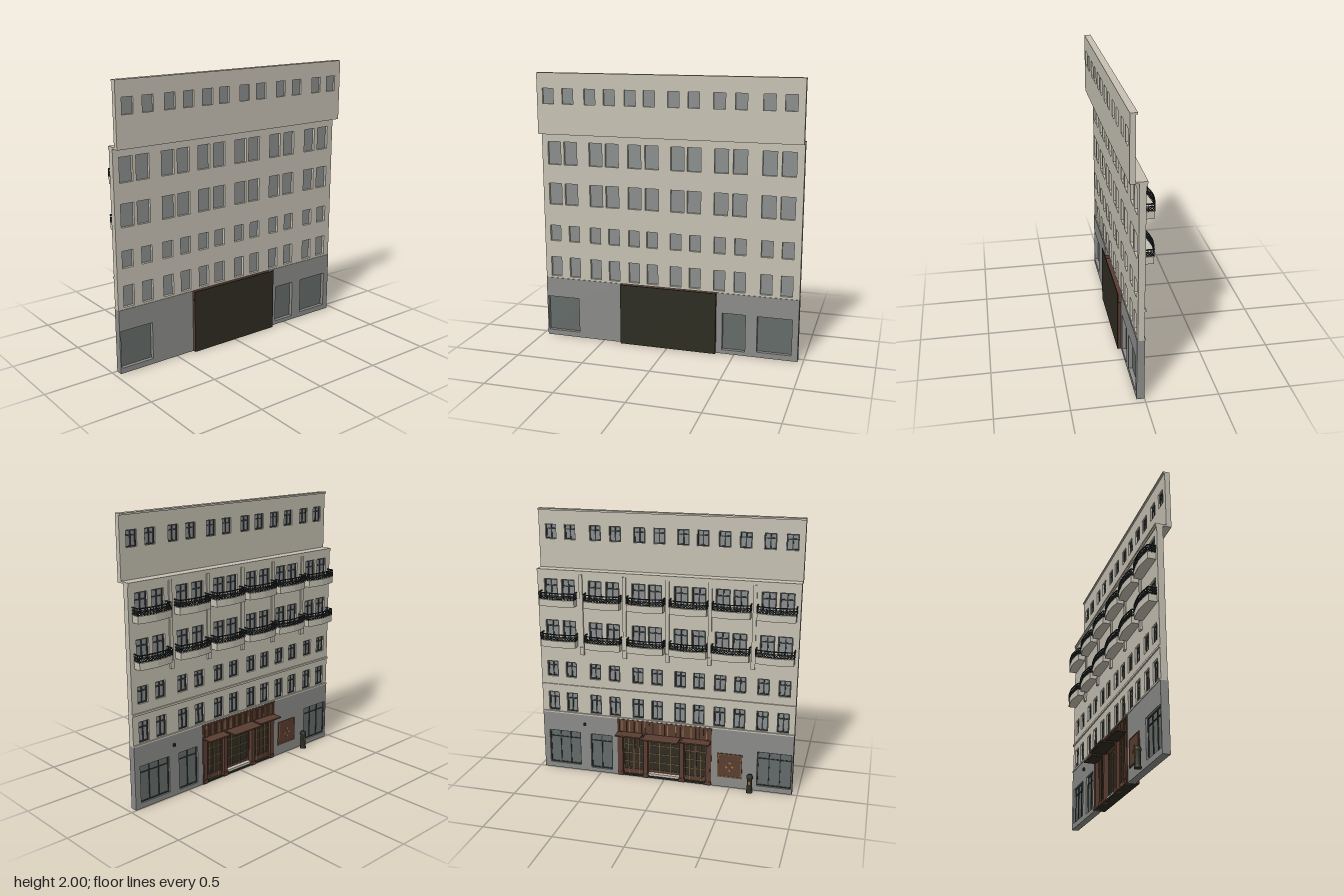
import * as THREE from 'three';
import { mergeGeometries } from 'three/addons/utils/BufferGeometryUtils.js';

const mat = (name, color) => Object.assign(new THREE.MeshStandardMaterial({ color }), { name });
const M = {
  plaster: mat('plaster', 0xc6c1b3),
  stone: mat('grey stone', 0x8b8b89),
  pane: mat('window pane', 0x8a8e8c),
  shop: mat('shop glass', 0x646b69),
  frame: mat('dark frame', 0x33383a),
  iron: mat('wrought iron', 0x25292a),
  wood: mat('brown wood', 0x5a3d31),
  backing: mat('dark backing', 0x2e2c22),
  gold: mat('gold trim', 0x93713f),
};

function mesh(parent, name, geo, material) {
  const m = new THREE.Mesh(geo, material);
  m.name = name;
  parent.add(m);
  return m;
}

// box geometry from its limits
function span(x0, x1, y0, y1, z0, z1) {
  return new THREE.BoxGeometry(x1 - x0, y1 - y0, z1 - z0)
    .translate((x0 + x1) / 2, (y0 + y1) / 2, (z0 + z1) / 2);
}
const box = (p, name, material, ...lim) => mesh(p, name, span(...lim), material);

// thin square bar between two points
function bar(a, b, t) {
  const d = new THREE.Vector3().subVectors(b, a);
  const g = new THREE.BoxGeometry(t, t, d.length());
  const m = new THREE.Matrix4().lookAt(b, a, new THREE.Vector3(0.01, 1, 0.02));
  return g.applyMatrix4(m).translate((a.x + b.x) / 2, (a.y + b.y) / 2, (a.z + b.z) / 2);
}

// wall with rectangular openings [x0, x1, y0, y1]
function wall(p, name, material, [x0, x1, y0, y1], z0, z1, holes) {
  const rect = (T, a, b, c, d) => {
    const s = new T();
    s.moveTo(a, c); s.lineTo(b, c); s.lineTo(b, d); s.lineTo(a, d); s.closePath();
    return s;
  };
  const s = rect(THREE.Shape, x0, x1, y0, y1);
  s.holes = holes.map((h) => rect(THREE.Path, ...h));
  const g = new THREE.ExtrudeGeometry(s, { depth: z1 - z0, bevelEnabled: false }).translate(0, 0, z0);
  mesh(p, name, g, material);
}

// pane with frame, mullions and a transom on the street side (-z)
function glazing(p, name, [x0, x1, y0, y1], z, glass, cols, transom, t) {
  box(p, name + 'Pane', glass, x0, x1, y0, y1, z, z + 0.006);
  const bars = [
    span(x0, x1, y0, y0 + t, z - 0.006, z), span(x0, x1, y1 - t, y1, z - 0.006, z),
  ];
  const ty = y0 + (y1 - y0) * transom;
  bars.push(span(x0, x1, ty - t / 2, ty + t / 2, z - 0.006, z));
  for (let i = 0; i <= cols; i++) {
    const x = x0 + t / 2 + ((x1 - x0 - t) * i) / cols;
    bars.push(span(x - t / 2, x + t / 2, y0, y1, z - 0.006, z));
  }
  mesh(p, name + 'Frame', mergeGeometries(bars), M.frame);
}

// balcony plan, slightly bowed towards the street
const PLAN = [[-0.134, 0.006], [-0.134, -0.053], [-0.067, -0.064], [0, -0.07], [0.067, -0.064], [0.134, -0.053], [0.134, 0.006]];

function balconyParts() {
  const s = new THREE.Shape(PLAN.map(([x, z]) => new THREE.Vector2(x, -z)));
  const slab = new THREE.ExtrudeGeometry(s, { depth: 0.05, bevelEnabled: false }).rotateX(-Math.PI / 2);
  const bars = [];
  const V = (q, y) => new THREE.Vector3(q[0], y, q[1]);
  for (let i = 0; i < PLAN.length - 1; i++) {
    const a = PLAN[i], b = PLAN[i + 1], n = 3;
    const at = (k) => [a[0] + ((b[0] - a[0]) * k) / n, a[1] + ((b[1] - a[1]) * k) / n];
    bars.push(bar(V(a, 0.1), V(b, 0.1), 0.007), bar(V(a, 0.058), V(b, 0.058), 0.005), bar(V(a, 0.083), V(b, 0.083), 0.004));
    for (let k = 0; k < n; k++) {
      const c = at(k), d = at(k + 1);
      bars.push(span(c[0] - 0.002, c[0] + 0.002, 0.05, 0.1, c[1] - 0.002, c[1] + 0.002));
      bars.push(bar(V(c, 0.058), V(d, 0.083), 0.004), bar(V(c, 0.083), V(d, 0.058), 0.004));
    }
  }
  return { slab, rail: mergeGeometries(bars) };
}

const SMALL = [-0.875, -0.725, -0.558, -0.412, -0.258, -0.118, 0.057, 0.202, 0.382, 0.532, 0.722, 0.868];
const BIG = [-0.865, -0.74, -0.545, -0.42, -0.25, -0.12, 0.07, 0.192, 0.387, 0.52, 0.725, 0.858];
const holesFor = (xs, w, y0, y1) => xs.map((x) => [x - w / 2, x + w / 2, y0, y1]);

function entrance(g) {
  box(g, 'entranceBacking', M.backing, -0.36, 0.365, 0, 0.46, 0.074, 0.08);
  for (const [x0, x1] of [[-0.36, -0.348], [0.353, 0.365]]) box(g, 'entranceSide', M.wood, x0, x1, 0, 0.39, -0.002, 0.074);
  box(g, 'entranceFloor', M.backing, -0.348, 0.353, 0, 0.012, 0, 0.074);
  box(g, 'entranceSoffit', M.wood, -0.348, 0.353, 0.35, 0.362, 0.004, 0.074);
  // ribbed fascia above the canopies
  box(g, 'fascia', M.wood, -0.36, 0.365, 0.36, 0.46, 0.004, 0.02);
  box(g, 'fasciaCap', M.wood, -0.36, 0.365, 0.448, 0.46, -0.006, 0.004);
  const ribs = [], trims = [];
  for (let i = 0; i <= 24; i++) {
    const x = -0.352 + (0.709 * i) / 24;
    if (i % 2) trims.push(span(x - 0.003, x + 0.003, 0.362, 0.448, -0.001, 0.004));
    else ribs.push(span(x - 0.007, x + 0.007, 0.36, 0.448, -0.004, 0.004));
  }
  mesh(g, 'fasciaRibs', mergeGeometries(ribs), M.wood);
  mesh(g, 'fasciaTrim', mergeGeometries(trims), M.gold);
  // columns between the bays
  for (const x of [-0.335, -0.135, 0.145, 0.34]) {
    box(g, 'column', M.wood, x - 0.016, x + 0.016, 0, 0.36, -0.004, 0.03);
    box(g, 'columnBase', M.wood, x - 0.02, x + 0.02, 0, 0.03, -0.008, 0.03);
  }
  // canopies
  for (const [x0, x1, z] of [[-0.355, -0.142, -0.08], [-0.125, 0.145, -0.107], [0.165, 0.36, -0.08]]) {
    box(g, 'canopy', M.wood, x0, x1, 0.346, 0.356, z, 0.004);
    box(g, 'canopySoffit', M.backing, x0 + 0.008, x1 - 0.008, 0.343, 0.346, z + 0.008, 0.004);
  }
  // glazed bays: doors at the sides, recessed window in the middle
  for (const [x0, x1, z, n] of [[-0.319, -0.151, 0.024, 4], [-0.119, 0.129, 0.045, 3], [0.161, 0.324, 0.024, 4]]) {
    box(g, 'bayGlass', M.backing, x0, x1, 0.012, 0.35, z, z + 0.006);
    const wood = [], gold = [];
    for (let i = 0; i <= n; i++) {
      const x = x0 + ((x1 - x0) * i) / n;
      const end = i === 0 || i === n || (n === 4 && i === 2);
      const t = end ? 0.007 : 0.002;
      (end ? wood : gold).push(span(x - t, x + t, 0.012, 0.35, z - 0.006, z));
    }
    wood.push(span(x0, x1, 0.012, 0.05, z - 0.005, z));
    for (const y of [0.11, 0.18, 0.25, 0.31]) gold.push(span(x0, x1, y - 0.002, y + 0.002, z - 0.004, z));
    mesh(g, 'bayFrame', mergeGeometries(wood), M.wood);
    mesh(g, 'bayGrille', mergeGeometries(gold), M.gold);
  }
  box(g, 'middleSill', M.plaster, -0.119, 0.129, 0.012, 0.03, 0.01, 0.04);
}

export function createModel() {
  const g = new THREE.Group();
  g.name = 'facade';

  // upper walls with their windows
  const top = holesFor(SMALL, 0.083, 1.78, 1.89);
  const main = [
    ...holesFor(BIG, 0.1, 1.33, 1.5), ...holesFor(BIG, 0.1, 1.03, 1.19),
    ...holesFor(SMALL, 0.083, 0.75, 0.87), ...holesFor(SMALL, 0.083, 0.475, 0.625),
  ];
  wall(g, 'atticWall', M.plaster, [-0.96, 0.96, 1.572, 1.99], 0.074, 0.11, top);
  wall(g, 'mainWall', M.plaster, [-0.96, 0.96, 0.46, 1.56], 0.006, 0.05, main);
  top.forEach((h) => glazing(g, 'atticWindow', h, 0.09, M.pane, 2, 0.68, 0.008));
  main.forEach((h) => glazing(g, 'window', h, 0.024, M.pane, 2, 0.7, 0.009));

  // cornices and string courses
  box(g, 'topCornice', M.plaster, -0.96, 0.96, 1.988, 2, 0.062, 0.11);
  box(g, 'ledge', M.plaster, -0.96, 0.96, 1.56, 1.572, -0.004, 0.11);
  box(g, 'ledgeMoulding', M.plaster, -0.96, 0.96, 1.545, 1.56, 0, 0.006);
  box(g, 'stringCourse', M.plaster, -0.96, 0.96, 0.675, 0.69, -0.003, 0.006);
  box(g, 'lowerStringCourse', M.plaster, -0.96, 0.96, 0.458, 0.47, -0.003, 0.006);

  // pilasters with brackets
  for (const x of [-0.645, -0.332, -0.025, 0.296, 0.625]) {
    box(g, 'pilaster', M.plaster, x - 0.013, x + 0.013, 1.0, 1.545, -0.004, 0.006);
    box(g, 'pilasterBracket', M.plaster, x - 0.015, x + 0.015, 0.94, 1.0, -0.01, 0.006);
  }

  // balconies
  const parts = balconyParts();
  for (const y of [1.0, 1.31]) for (const x of [-0.802, -0.488, -0.182, 0.133, 0.455, 0.795]) {
    const b = new THREE.Group();
    b.name = 'balcony';
    mesh(b, 'balconySlab', parts.slab, M.plaster);
    mesh(b, 'balconyRailing', parts.rail, M.iron);
    b.position.set(x, y, 0);
    g.add(b);
  }

  // ground floor
  const shopA = [-0.95, -0.7, 0.04, 0.31], shopB = [0.41, 0.58, 0.03, 0.31], shopC = [0.665, 0.915, 0.04, 0.31];
  wall(g, 'groundWallRight', M.stone, [-0.96, -0.36, 0, 0.46], 0.002, 0.054, [shopA]);
  wall(g, 'groundWallLeft', M.stone, [0.365, 0.96, 0, 0.46], 0.002, 0.054, [shopB, shopC]);
  glazing(g, 'shopWindow', shopA, 0.02, M.shop, 3, 0.8, 0.007);
  glazing(g, 'shopWindow', shopB, 0.02, M.shop, 2, 0.8, 0.007);
  glazing(g, 'shopWindow', shopC, 0.02, M.shop, 3, 0.8, 0.007);
  entrance(g);

  // framed display board
  box(g, 'displayBoard', M.wood, -0.59, -0.405, 0.08, 0.27, -0.004, 0.002);
  const trim = [span(-0.585, -0.41, 0.085, 0.089, -0.007, -0.004), span(-0.585, -0.41, 0.261, 0.265, -0.007, -0.004),
    span(-0.585, -0.581, 0.085, 0.265, -0.007, -0.004), span(-0.414, -0.41, 0.085, 0.265, -0.007, -0.004)];
  for (const [x, y] of [[-0.5, 0.2], [-0.52, 0.17], [-0.475, 0.165], [-0.5, 0.14]]) {
    trim.push(new THREE.CylinderGeometry(0.01, 0.01, 0.003, 8).rotateX(Math.PI / 2).translate(x, y, -0.0055));
  }
  mesh(g, 'displayTrim', mergeGeometries(trim), M.gold);

  // small wall lamp
  box(g, 'wallLamp', M.iron, 0.617, 0.633, 0.375, 0.395, -0.012, 0.002);

  // street bin
  const profile = [[0, 0], [0.024, 0], [0.024, 0.012], [0.019, 0.018], [0.019, 0.105], [0.024, 0.112], [0.024, 0.126], [0.017, 0.14], [0, 0.142]];
  const bin = mesh(g, 'streetBin', new THREE.LatheGeometry(profile.map(([r, y]) => new THREE.Vector2(r, y)), 14), M.backing);
  bin.position.set(-0.655, 0, -0.037);
  box(g, 'binPlate', M.gold, -0.662, -0.648, 0.07, 0.092, -0.058, -0.054);
  return g;
}
